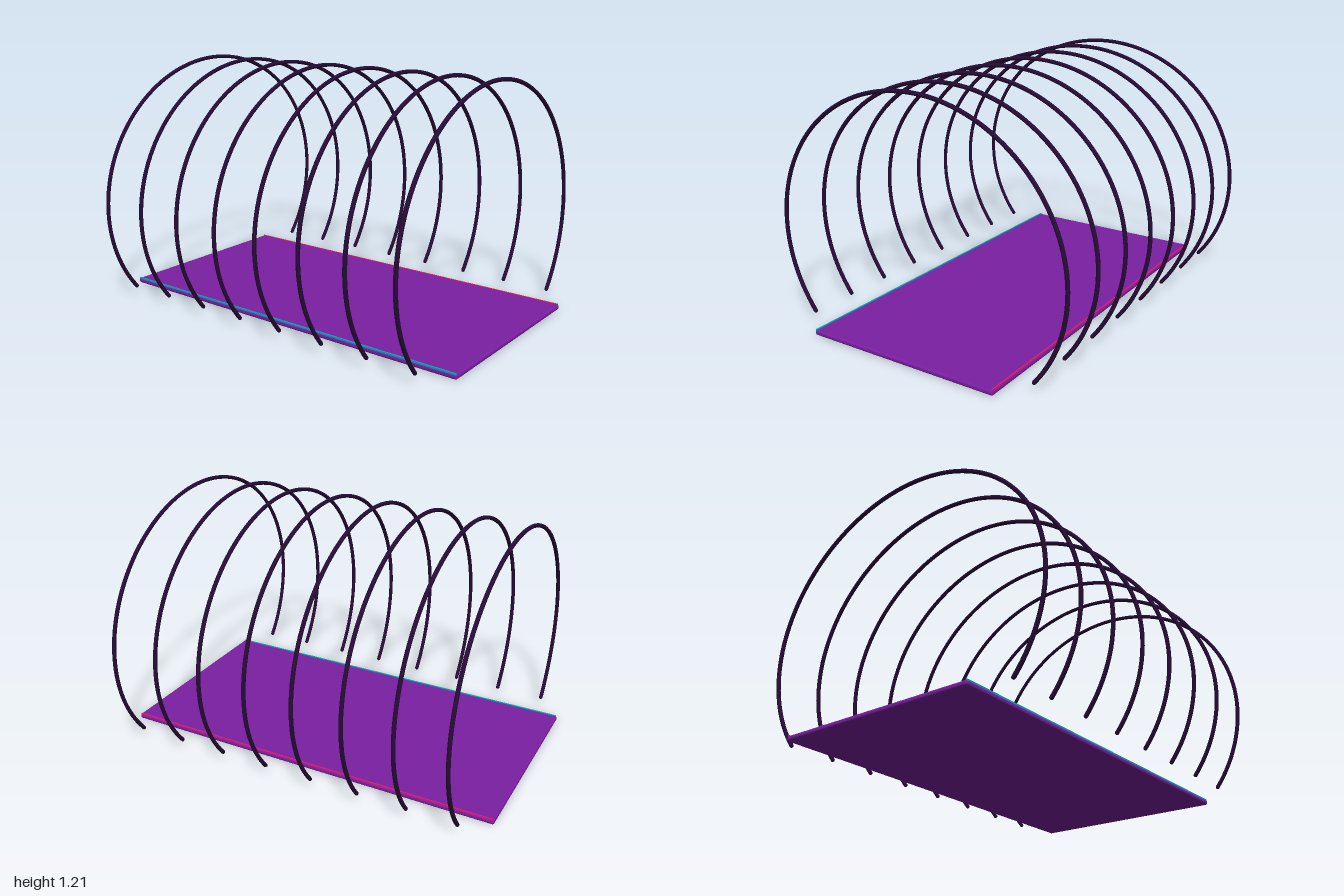
import * as THREE from 'three';
import { RoundedBoxGeometry } from 'three/addons/geometries/RoundedBoxGeometry.js';

const material = (name, color) => {
  const m = new THREE.MeshStandardMaterial({ color });
  m.name = name;
  return m;
};

// Upper part of an ellipse, open at the bottom
class ArchCurve extends THREE.Curve {
  getPoint(t, target = new THREE.Vector3()) {
    const drop = 0.637;
    const a = -drop + t * (Math.PI + 2 * drop);
    return target.set(0.787 * Math.cos(a), 0.475 + 0.725 * Math.sin(a), 0);
  }
}

export function createModel() {
  const purple = material('deck purple', 0x7b1fa2);
  const dark = material('rib dark violet', 0x260b35);
  const cyan = material('cyan edge', 0x00acc1);
  const pink = material('pink edge', 0xd81b7a);

  const group = new THREE.Group();
  const add = (name, geometry, mat, x, y, z) => {
    const mesh = new THREE.Mesh(geometry, mat);
    mesh.name = name;
    mesh.position.set(x, y, z);
    group.add(mesh);
  };

  // Floor slab with softened edges
  add('floor', new RoundedBoxGeometry(1.02, 0.025, 2, 3, 0.01), purple, 0, 0.0125, 0);

  // Coloured edge strips along both sides
  const strip = new THREE.BoxGeometry(0.007, 0.012, 1.99);
  add('rightEdgeStrip', strip, cyan, -0.504, 0.023, 0);
  add('leftEdgeStrip', strip, pink, 0.504, 0.023, 0);

  // Eight arched ribs with closed ends
  const curve = new ArchCurve();
  const rib = new THREE.TubeGeometry(curve, 96, 0.01, 10, false);
  const cap = new THREE.SphereGeometry(0.01, 10, 6);
  const ends = [curve.getPoint(0), curve.getPoint(1)];
  for (let i = 0; i < 8; i++) {
    const z = (i - 3.5) * 0.249;
    add('rib' + (i + 1), rib, dark, 0, 0, z);
    for (const p of ends) add('ribEnd' + (i + 1), cap, dark, p.x, p.y, z);
  }
  return group;
}
